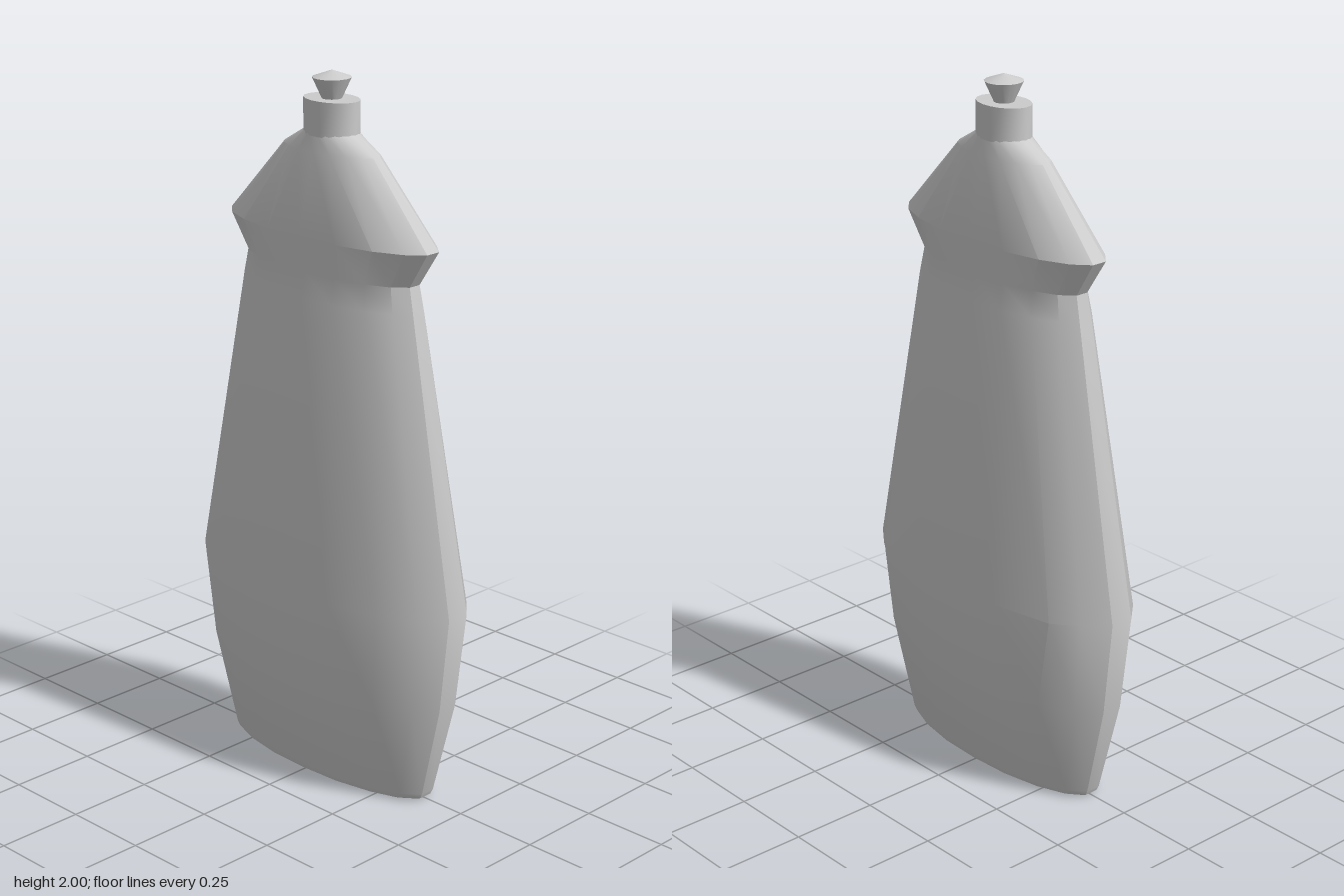
import * as THREE from 'three';
import { toCreasedNormals } from 'three/addons/utils/BufferGeometryUtils.js';

const material = new THREE.MeshStandardMaterial({ color: 0xcccccc });

// Quarter of the oval cross-section; the last point leaves a flat strip at each narrow end
const QUARTER = [[1, 0], [0.95, 0.345], [0.77, 0.655], [0.5, 0.88], [0.18, 1]];

// Full outline, from +x round through +z
function outline() {
  const half = [...QUARTER, ...QUARTER.slice(1).reverse().map(([x, z]) => [-x, z]), [-1, 0]];
  return [...half, ...half.slice(1, -1).reverse().map(([x, z]) => [x, -z])]
    .filter(([x, z], i, all) => all.findIndex(p => p[0] === x && p[1] === z) === i);
}

// Closed skin through rings of [y, half width, half depth]
function loft(rings) {
  const ring = outline(), n = ring.length, pos = [], idx = [];
  for (const [y, w, d] of rings) {
    for (const [x, z] of ring) {
      // the widest ring is slightly squarer on its left side
      const square = y === 0.58 && x === 0.77 ? 1.12 : 1;
      pos.push(x * w, y, z * d * square);
    }
  }
  const last = rings.length - 1;
  pos.push(0, rings[0][0], 0, 0, rings[last][0], 0);
  for (let j = 0; j < n; j++) {
    const k = (j + 1) % n;
    for (let r = 0; r < last; r++) {
      const a = r * n + j, b = r * n + k;
      idx.push(a, a + n, b + n, a, b + n, b);
    }
    idx.push((last + 1) * n, j, k);
    idx.push((last + 1) * n + 1, last * n + k, last * n + j);
  }
  const geo = new THREE.BufferGeometry();
  geo.setAttribute('position', new THREE.Float32BufferAttribute(pos, 3));
  geo.setIndex(idx);
  return geo;
}

export function createModel() {
  const group = new THREE.Group();
  const add = (name, geo) => {
    const mesh = new THREE.Mesh(toCreasedNormals(geo, Math.PI / 6), material);
    mesh.name = name;
    group.add(mesh);
  };

  // Bottle: base, belly, waist, collar and shoulder
  add('bottleBody', loft([
    [0, 0.105, 0.355],
    [0.006, 0.116, 0.367],
    [0.022, 0.124, 0.375],
    [0.3, 0.174, 0.444],
    [0.58, 0.196, 0.477],
    [1.4, 0.118, 0.32],
    [1.47, 0.105, 0.305],
    [1.57, 0.125, 0.369],
    [1.79, 0.071, 0.165],
    [1.838, 0.06, 0.085],
  ]));

  // Oval cap
  const cap = new THREE.CylinderGeometry(1, 1, 0.095, 18);
  cap.scale(0.063, 1, 0.087).translate(0, 1.8775, 0);
  add('cap', cap);

  // Flared pull-up spout with a shallow conical top
  const profile = [[0.025, 1.92], [0.053, 1.981], [0, 2]];
  add('spout', new THREE.LatheGeometry(profile.map(([r, y]) => new THREE.Vector2(r, y)), 16));

  return group;
}
